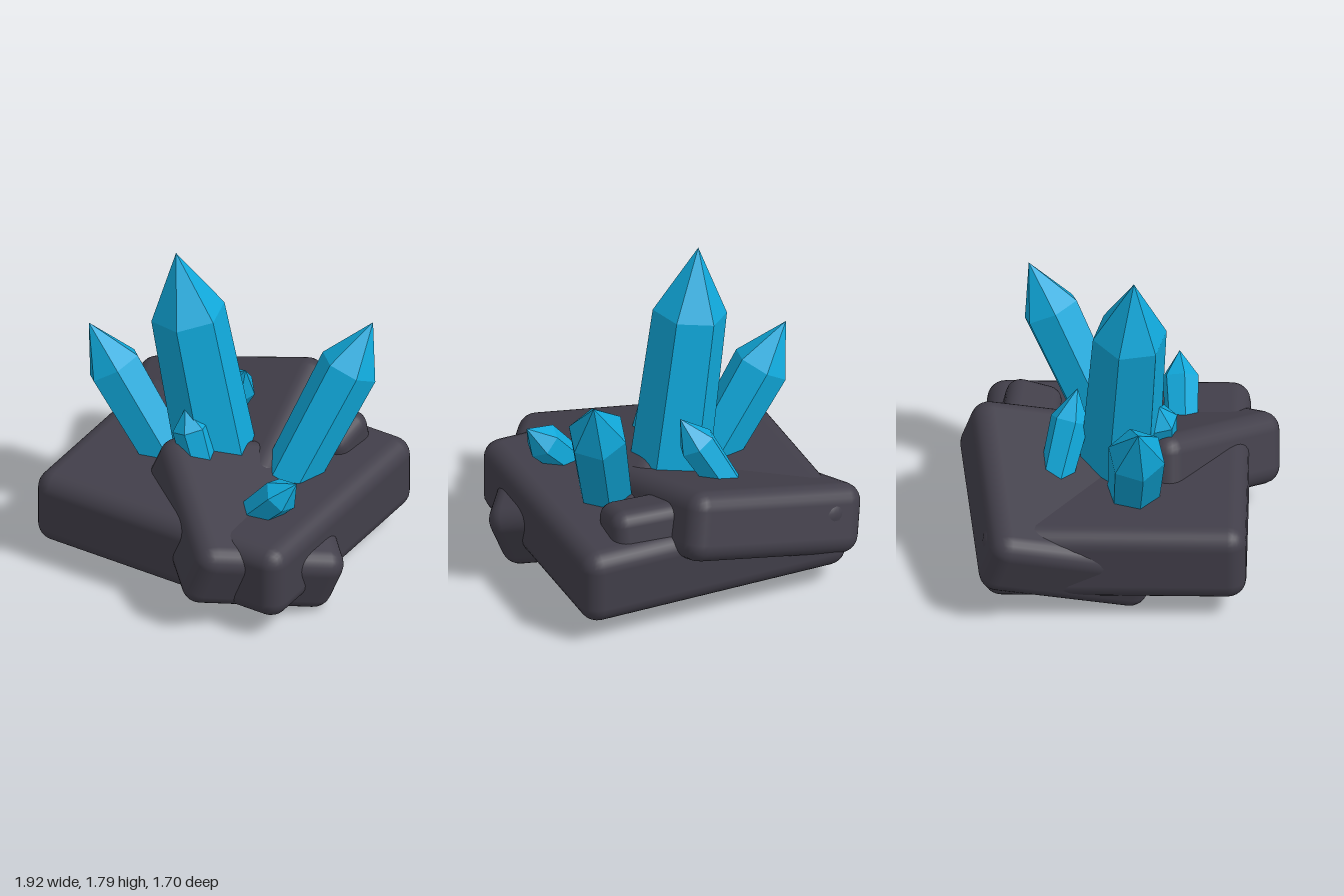
import * as THREE from 'three';
import { RoundedBoxGeometry } from 'three/addons/geometries/RoundedBoxGeometry.js';

const V = (a) => new THREE.Vector3(...a);

export function createModel() {
  const rock = new THREE.MeshStandardMaterial({ name: 'dark rock', color: 0x423f4a });
  const blue = new THREE.MeshStandardMaterial({ name: 'blue crystal', color: 0x10a8da, flatShading: true });
  const model = new THREE.Group();
  model.name = 'crystalCluster';

  // Rounded rock slab: size, centre, length direction and upward normal
  function slab(name, size, centre, along, up, radius = 0.1) {
    const mesh = new THREE.Mesh(new RoundedBoxGeometry(...size, 3, radius), rock);
    const x = V(along).normalize();
    const z = x.clone().cross(V(up)).normalize();
    const y = z.clone().cross(x);
    mesh.quaternion.setFromRotationMatrix(new THREE.Matrix4().makeBasis(x, y, z));
    mesh.position.set(...centre);
    mesh.name = name;
    model.add(mesh);
  }

  // Six-sided crystal from base to tip, with a pointed end of the given length
  function crystal(name, base, tip, baseRadius, radius, point, spin = 0) {
    const axis = V(tip).sub(V(base));
    const h = axis.length();
    const profile = [[0, 0], [baseRadius, 0], [radius, h - point], [0, h]].map((p) => new THREE.Vector2(...p));
    const geometry = new THREE.LatheGeometry(profile, 6, spin).toNonIndexed();
    geometry.computeVertexNormals();
    const mesh = new THREE.Mesh(geometry, blue);
    mesh.quaternion.setFromUnitVectors(new THREE.Vector3(0, 1, 0), axis.normalize());
    mesh.position.set(...base);
    mesh.name = name;
    model.add(mesh);
  }

  // Overlapping slabs
  slab('mainSlab', [1.53, 0.42, 1.39], [0.04, 0.33, 0], [0.964, 0, -0.266], [0, 1, 0]);
  slab('backSlab', [1.1, 0.38, 0.93], [-0.276, 0.396, -0.222], [0.89, 0.26, -0.375], [-0.13, 0.93, 0.34]);
  slab('frontSlab', [0.925, 0.39, 0.85], [0.403, 0.372, 0.178], [0.852, -0.275, 0.446], [0.358, 0.928, -0.113]);
  slab('rearRidge', [0.7, 0.4, 0.3], [0.1, 0.47, -0.53], [0.98, 0, -0.19], [0, 0.97, 0.24], 0.08);

  // Crystals
  const turn = Math.PI / 6;
  crystal('mainCrystal', [0.03, 0.4, 0.01], [-0.165, 1.79, 0.155], 0.22, 0.2, 0.37, turn);
  crystal('leftRearCrystal', [0.36, 0.4, -0.11], [0.52, 1.335, -0.625], 0.145, 0.16, 0.28);
  crystal('rightCrystal', [-0.2, 0.45, 0.16], [-0.66, 1.18, 0.325], 0.14, 0.155, 0.27);
  crystal('smallLeftCrystal', [0.46, 0.44, 0.235], [0.755, 0.77, 0.135], 0.085, 0.1, 0.14);
  crystal('smallFrontCrystal', [0.15, 0.45, 0.21], [0.0, 0.925, 0.24], 0.085, 0.1, 0.11, turn);
  crystal('smallRearCrystal', [-0.27, 0.52, -0.25], [-0.01, 0.96, -0.2], 0.09, 0.105, 0.17);

  return model;
}
